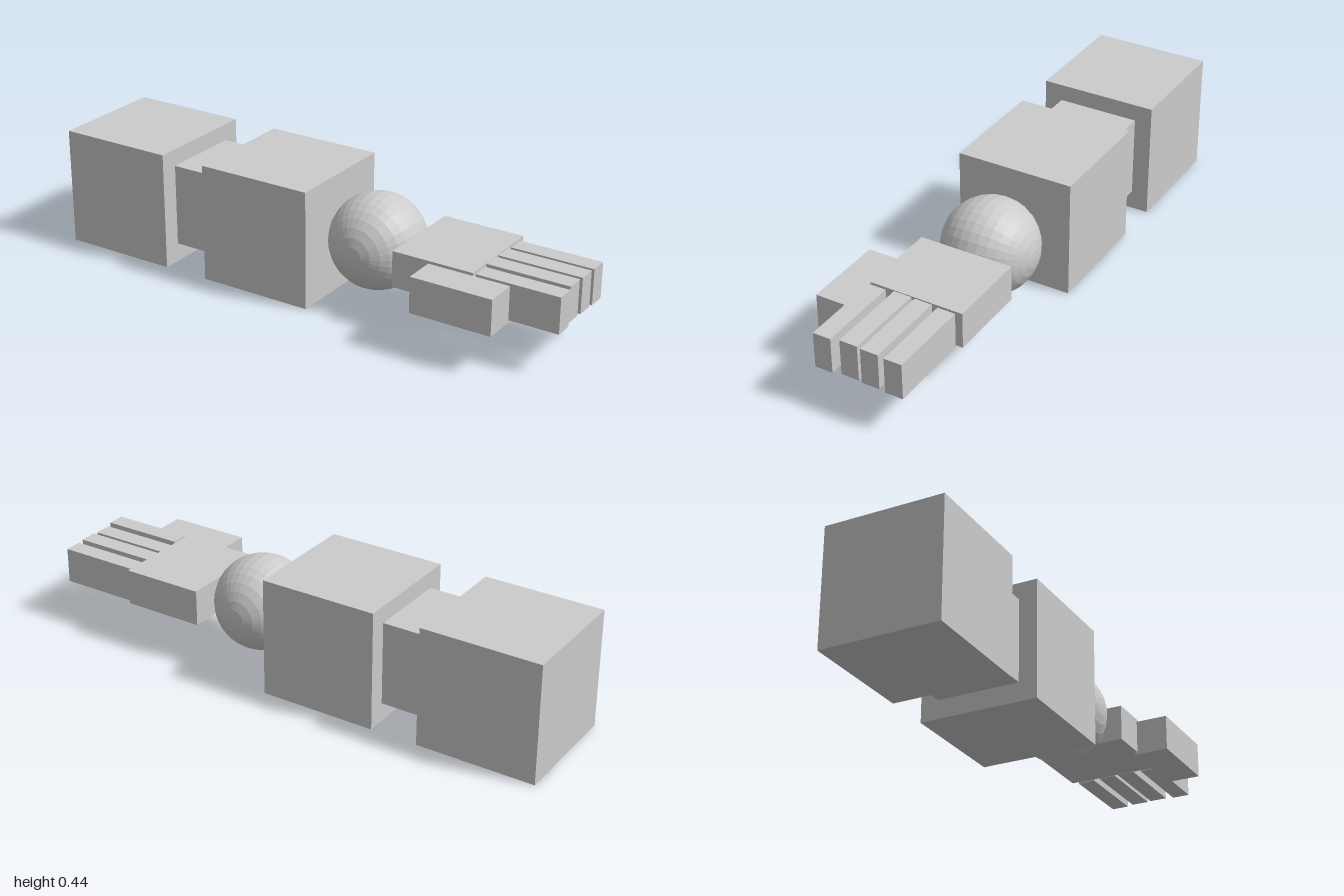
import * as THREE from 'three';

const material = new THREE.MeshStandardMaterial({ color: 0xcccccc, flatShading: true });

// Box given by its lower and upper limits on each axis
function block(name, [x0, x1], [y0, y1], [z0, z1]) {
  const mesh = new THREE.Mesh(new THREE.BoxGeometry(x1 - x0, y1 - y0, z1 - z0), material);
  mesh.position.set((x0 + x1) / 2, (y0 + y1) / 2, (z0 + z1) / 2);
  mesh.name = name;
  return mesh;
}

export function createModel() {
  const model = new THREE.Group();
  model.name = 'blockArm';

  // Arm: two cubes joined by a smaller elbow block
  model.add(
    block('upperArm', [-1, -0.56], [0, 0.44], [-0.256, 0.184]),
    block('elbow', [-0.56, -0.385], [0.07, 0.377], [-0.191, 0.116]),
    block('forearm', [-0.385, 0.053], [0, 0.44], [-0.256, 0.184]),
  );

  // Ball wrist, poles along z
  const wrist = new THREE.Mesh(new THREE.SphereGeometry(0.175, 32, 16), material);
  wrist.name = 'wrist';
  wrist.rotation.x = Math.PI / 2;
  wrist.position.set(0.21, 0.221, -0.036);
  model.add(wrist);

  // Hand: palm, thumb and four fingers
  const hand = new THREE.Group();
  hand.name = 'hand';
  hand.add(
    block('palm', [0.373, 0.68], [0.155, 0.288], [-0.213, 0.138]),
    block('thumb', [0.512, 0.816], [0.146, 0.278], [0.127, 0.257]),
  );
  // Each finger: start x, bottom y, centre z
  const fingers = [
    [0.69, 0.155, 0.105],
    [0.678, 0.153, 0.013],
    [0.682, 0.153, -0.067],
    [0.682, 0.149, -0.154],
  ];
  fingers.forEach(([x, y, z], i) => {
    hand.add(block(`finger${i + 1}`, [x, x + 0.308], [y, y + 0.132], [z - 0.033, z + 0.033]));
  });
  model.add(hand);

  return model;
}
